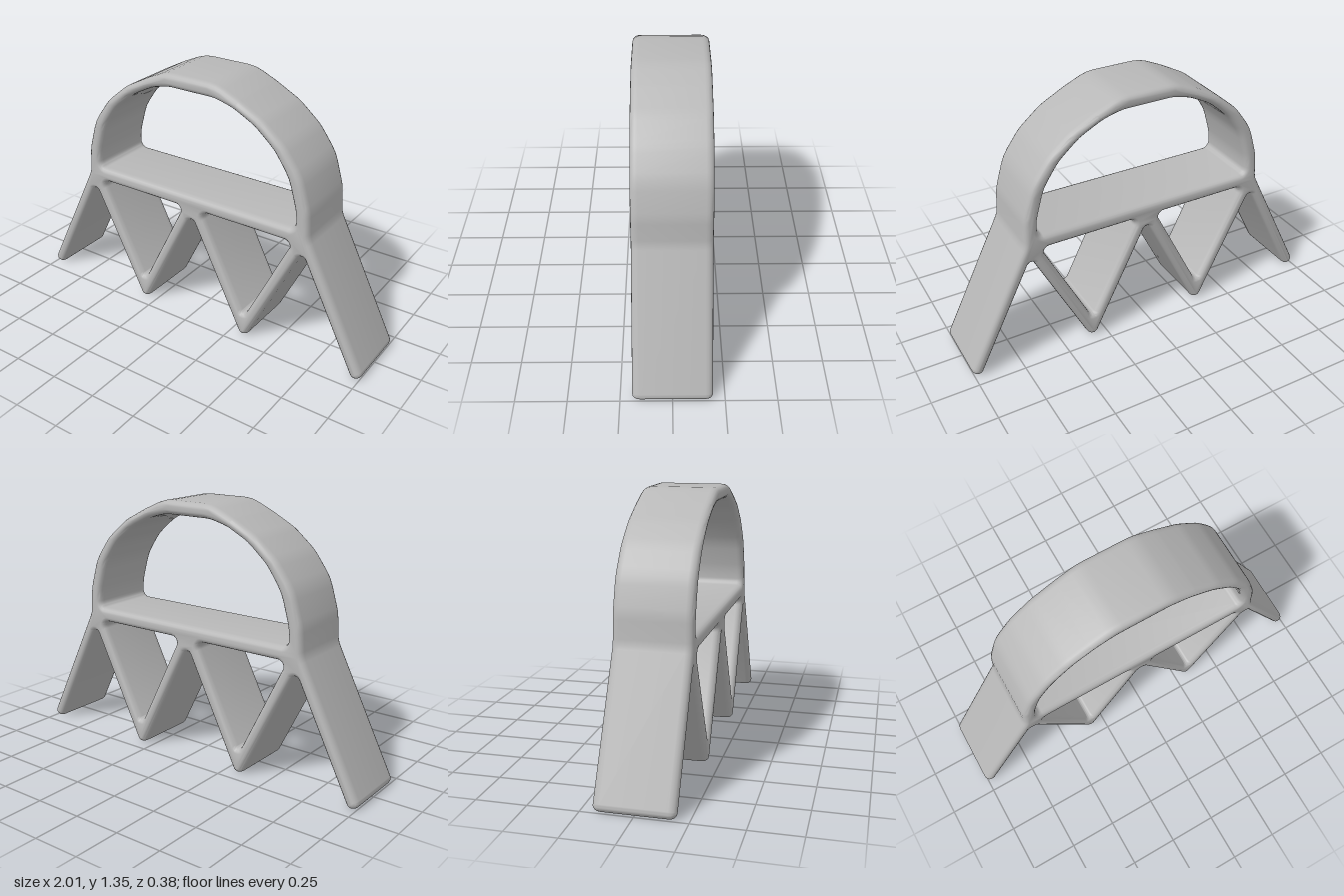
import * as THREE from 'three';
import { toCreasedNormals } from 'three/addons/utils/BufferGeometryUtils.js';

const HALF_DEPTH = 0.192;
const BEVEL = 0.026;
const BEVEL_DEPTH = 0.036;

// Polygon [x, y, radius] -> points with every corner replaced by a tangent arc
function roundedLoop(corners, steps = 8) {
  const out = [];
  const n = corners.length;
  corners.forEach(([x, y, r], i) => {
    const p = new THREE.Vector2(x, y);
    const toward = (q) => new THREE.Vector2(q[0], q[1]).sub(p);
    const u = toward(corners[(i + n - 1) % n]);
    const v = toward(corners[(i + 1) % n]);
    const limit = 0.48 * Math.min(u.length(), v.length());
    u.normalize();
    v.normalize();
    const half = Math.acos(THREE.MathUtils.clamp(u.dot(v), -1, 1)) / 2;
    const cut = Math.min(r / Math.tan(half), limit);
    const radius = cut * Math.tan(half);
    const centre = u.clone().add(v).normalize().multiplyScalar(radius / Math.sin(half)).add(p);
    const a = p.clone().addScaledVector(u, cut).sub(centre);
    const b = p.clone().addScaledVector(v, cut).sub(centre);
    const sweep = Math.atan2(a.cross(b), a.dot(b));
    const count = Math.max(2, Math.ceil((Math.abs(sweep) / Math.PI) * steps * 1.5));
    for (let k = 0; k <= count; k++) {
      const t = a.angle() + (sweep * k) / count;
      out.push(new THREE.Vector2(centre.x + radius * Math.cos(t), centre.y + radius * Math.sin(t)));
    }
  });
  return out;
}

// Adds the left half of a loop whose right half runs bottom to top
function mirrored(right) {
  const left = right.filter(([x]) => x > 0).map(([x, y, r]) => [-x, y, r]).reverse();
  return [...right, ...left];
}

export function createModel() {
  const group = new THREE.Group();
  group.name = 'archFrame';
  const grey = new THREE.MeshStandardMaterial({ color: 0xb8b8b8 });
  grey.name = 'plainGrey';

  // Outer contour: zigzag legs below, splayed end legs, arch above
  const outline = new THREE.Shape(roundedLoop(mirrored([
    [0, 0.61, 0.02],
    [0.325, -0.04, 0.033],
    [0.65, 0.61, 0.02],
    [0.96, -0.01, 0.031],
    [1.017, 0.018, 0.031],
    [0.683, 0.687, 0.12],
    [0.675, 0.83, 0.25],
    [0.625, 1.0, 0.25],
    [0.53, 1.13, 0.25],
    [0.41, 1.23, 0.25],
    [0.275, 1.3, 0.25],
    [0.15, 1.355, 0.2],
  ])));

  // Opening under the arch
  outline.holes.push(new THREE.Path(roundedLoop(mirrored([
    [0.607, 0.725, 0.035],
    [0.602, 0.82, 0.25],
    [0.557, 0.98, 0.25],
    [0.475, 1.1, 0.25],
    [0.365, 1.195, 0.25],
    [0.24, 1.258, 0.25],
    [0.14, 1.283, 0.2],
  ]))));

  // Triangular openings between the crossbar and the V legs
  for (const x of [-0.325, 0.325]) {
    outline.holes.push(new THREE.Path(roundedLoop([
      [x, 0.11, 0.02],
      [x + 0.27, 0.65, 0.028],
      [x - 0.27, 0.65, 0.028],
    ])));
  }

  // Broad band with softly rounded front and back edges
  const depth = 2 * (HALF_DEPTH - BEVEL_DEPTH);
  const geometry = new THREE.ExtrudeGeometry(outline, {
    depth,
    steps: 1,
    bevelEnabled: true,
    bevelThickness: BEVEL_DEPTH,
    bevelSize: BEVEL,
    bevelOffset: -BEVEL,
    bevelSegments: 4,
  });
  geometry.translate(0, 0, -depth / 2);

  const frame = new THREE.Mesh(toCreasedNormals(geometry, 0.7), grey);
  frame.name = 'archCrossbarAndLegs';
  group.add(frame);
  return group;
}
